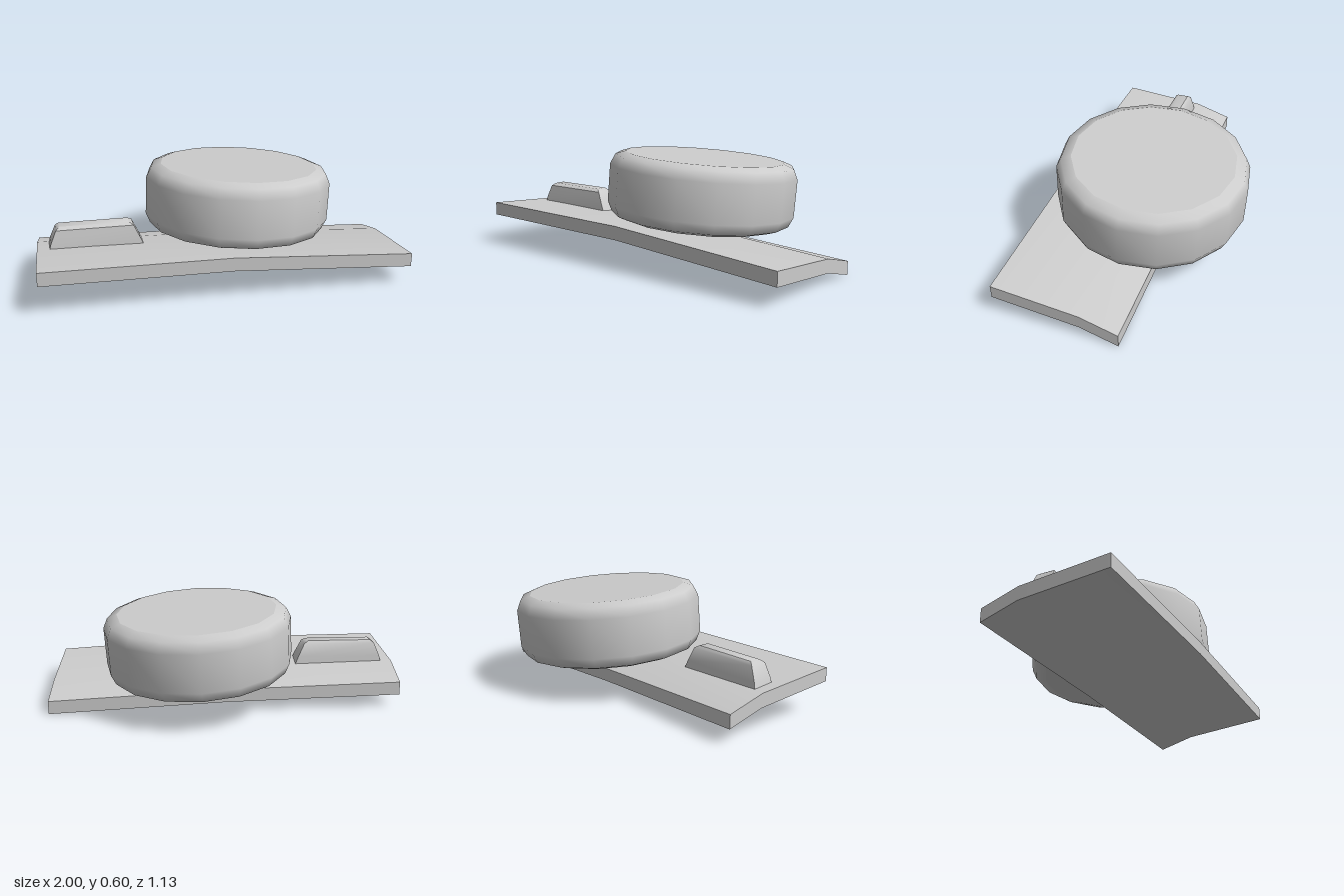
import * as THREE from 'three';
import { toCreasedNormals } from 'three/addons/utils/BufferGeometryUtils.js';

const grey = new THREE.MeshStandardMaterial({ color: 0xcccccc });
grey.name = 'light grey';

// Closed solid through rings of points, each counterclockwise seen from the far end
function loft(rings, crease) {
  const out = [];
  const tri = (a, b, c) => out.push(...a, ...b, ...c);
  for (let k = 0; k + 1 < rings.length; k++) {
    const a = rings[k], b = rings[k + 1], n = a.length;
    for (let i = 0; i < n; i++) {
      const j = (i + 1) % n;
      tri(a[i], a[j], b[j]);
      tri(a[i], b[j], b[i]);
    }
  }
  const first = rings[0], last = rings[rings.length - 1];
  for (let i = 1; i + 1 < first.length; i++) {
    tri(first[0], first[i + 1], first[i]);
    tri(last[0], last[i], last[i + 1]);
  }
  const geo = new THREE.BufferGeometry();
  geo.setAttribute('position', new THREE.Float32BufferAttribute(out, 3));
  return toCreasedNormals(geo, crease);
}

// Horizontal rectangle; skew slides z along x for slightly turned parts
function rect(y, x0, x1, z0, z1, skew = 0) {
  const p = (x, z) => [x, y, z + skew * (x - (x0 + x1) / 2)];
  return [p(x0, z1), p(x1, z1), p(x1, z0), p(x0, z0)];
}

export function createModel() {
  const group = new THREE.Group();
  const add = (name, geo, parent = group) => {
    const mesh = new THREE.Mesh(geo, grey);
    mesh.name = name;
    parent.add(mesh);
    return mesh;
  };

  // Bent base plate: underside points front, middle, back at three stations
  const thick = 0.074;
  const stations = [
    [[-1, 0.172, 0.49], [-0.99, 0.135, 0.01], [-0.98, 0.075, -0.2]],
    [[-0.01, 0.163, 0.525], [0, 0.115, 0.045], [0.01, 0.05, -0.165]],
    [[0.97, 0.1, 0.56], [0.985, 0.055, 0.08], [0.995, 0, -0.13]],
  ];
  add('basePlate', loft(stations.map(([front, mid, back]) => {
    const up = ([x, y, z]) => [x, y + thick, z];
    return [mid, back, up(back), up(mid), up(front), front];
  }), 0.5));

  // Small bevelled ridge on the plate
  add('ridge', loft([
    rect(0.18, -0.935, -0.415, 0.028, 0.158, 0.03),
    rect(0.24, -0.92, -0.44, 0.034, 0.154, 0.03),
    rect(0.315, -0.888, -0.475, 0.045, 0.142, 0.03),
    rect(0.33, -0.868, -0.5, 0.06, 0.122, 0.03),
  ], 0.7));

  // Wedge-shaped stem between the plate and the disc
  add('stem', loft([
    rect(0.13, 0.01, 0.4, -0.1, 0.1, 0.03),
    rect(0.23, -0.02, 0.4, -0.33, 0.23, 0.03),
  ], 0.3));

  // Tilted 16-sided disc with rounded rims
  const disc = new THREE.Group();
  disc.name = 'disc';
  const h = 0.18, rCap = 0.445;
  const profile = [[rCap, -h], [0.5, -h + 0.02], [0.525, -h + 0.075],
    [0.525, h - 0.075], [0.5, h - 0.02], [rCap, h]]
    .map(([r, y]) => new THREE.Vector2(r, y));
  add('discRim', new THREE.LatheGeometry(profile, 16), disc);
  for (const s of [1, -1]) {
    const cap = new THREE.CircleGeometry(rCap, 16).rotateX(-s * Math.PI / 2);
    add(s > 0 ? 'discTop' : 'discBottom', cap.translate(0, s * h, 0), disc);
  }
  const up = new THREE.Vector3(0, 1, 0);
  const axis = new THREE.Vector3(0.055, 1, -0.058).normalize();
  disc.quaternion.setFromUnitVectors(up, axis)
    .multiply(new THREE.Quaternion().setFromAxisAngle(up, -0.04));
  disc.position.set(0.15, 0.381, -0.036);
  group.add(disc);

  return group;
}
